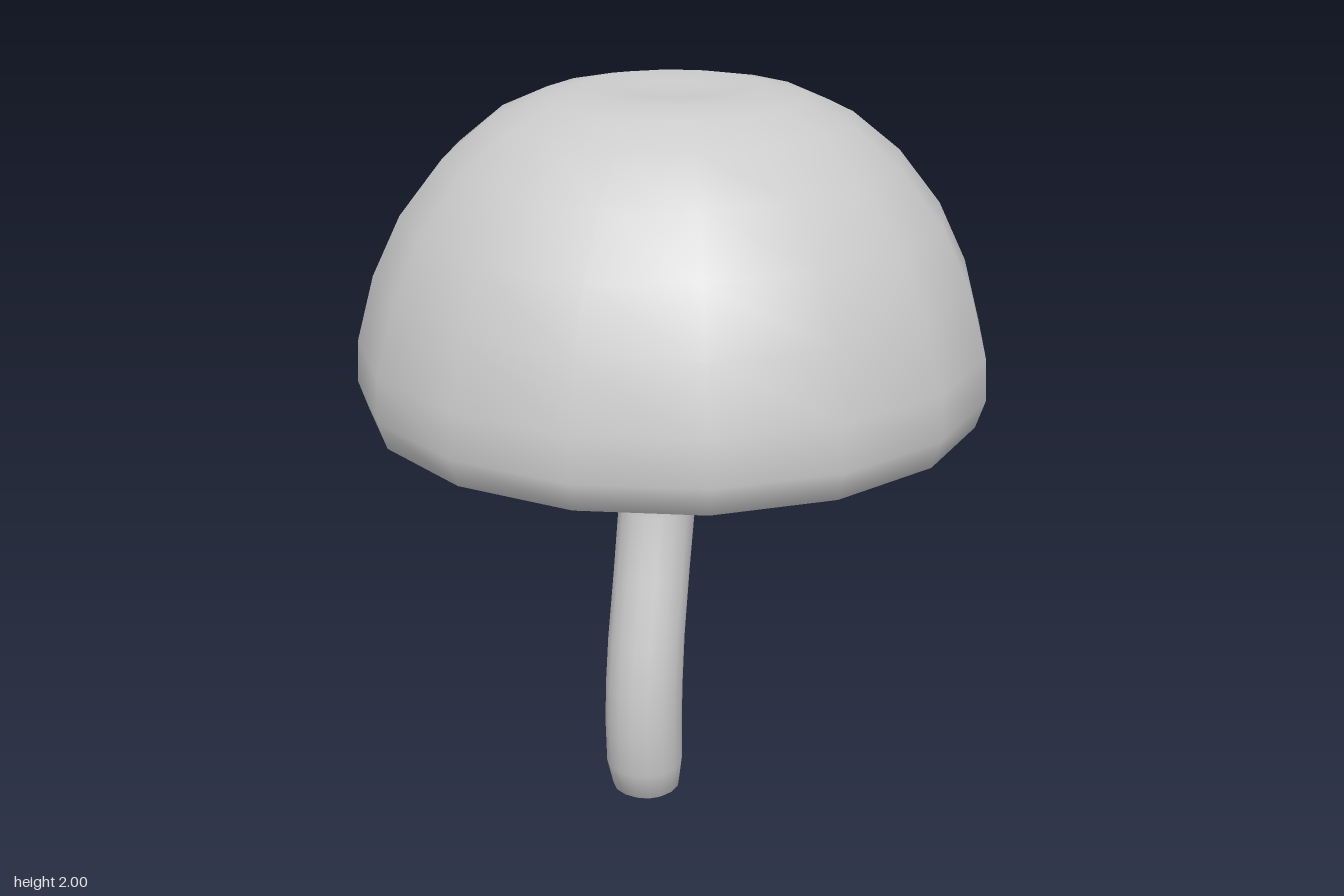
import * as THREE from 'three';
import { mergeVertices } from 'three/addons/utils/BufferGeometryUtils.js';

const SIDES = 16;

// Smooth lathed skin; each ring is [radius, height, forward shift].
function bentLathe(name, rings) {
  const profile = rings.map(([r, y]) => new THREE.Vector2(r, y));
  let geometry = new THREE.LatheGeometry(profile, SIDES);
  const pos = geometry.attributes.position;
  for (let i = 0; i < pos.count; i++) {
    const shift = rings[i % rings.length][2] || 0;
    pos.setZ(i, pos.getZ(i) + shift);
  }
  // weld the seam and poles so shading stays smooth all round
  geometry.deleteAttribute('uv');
  geometry.deleteAttribute('normal');
  geometry = mergeVertices(geometry, 1e-4);
  geometry.computeVertexNormals();
  const material = new THREE.MeshStandardMaterial({ color: 0xcccccc, side: THREE.DoubleSide });
  const mesh = new THREE.Mesh(geometry, material);
  mesh.name = name;
  return mesh;
}

export function createModel() {
  const group = new THREE.Group();
  group.name = 'mushroom';

  // curved stem, flaring into the shallow cone under the cap
  group.add(bentLathe('stemAndUnderside', [
    [0, 0.005, 0.26],
    [0.06, 0.005, 0.26],
    [0.095, 0.035, 0.272],
    [0.108, 0.12, 0.286],
    [0.109, 0.25, 0.293],
    [0.109, 0.37, 0.284],
    [0.108, 0.5, 0.262],
    [0.107, 0.68, 0.21],
    [0.108, 0.86, 0.157],
    [0.13, 0.97, 0.125],
    [0.253, 1.05, 0.055],
    [0.45, 1.11, 0],
    [0.66, 1.17, 0],
  ]));

  // domed cap with a rolled rim and a slightly sunken crown
  group.add(bentLathe('cap', [
    [0.66, 1.17],
    [0.74, 1.145],
    [0.8, 1.106],
    [0.85, 1.122],
    [0.875, 1.2],
    [0.868, 1.32],
    [0.818, 1.5],
    [0.738, 1.665],
    [0.62, 1.815],
    [0.488, 1.922],
    [0.357, 1.98],
    [0.25, 2],
    [0.12, 1.99],
    [0, 1.982],
  ]));

  return group;
}
